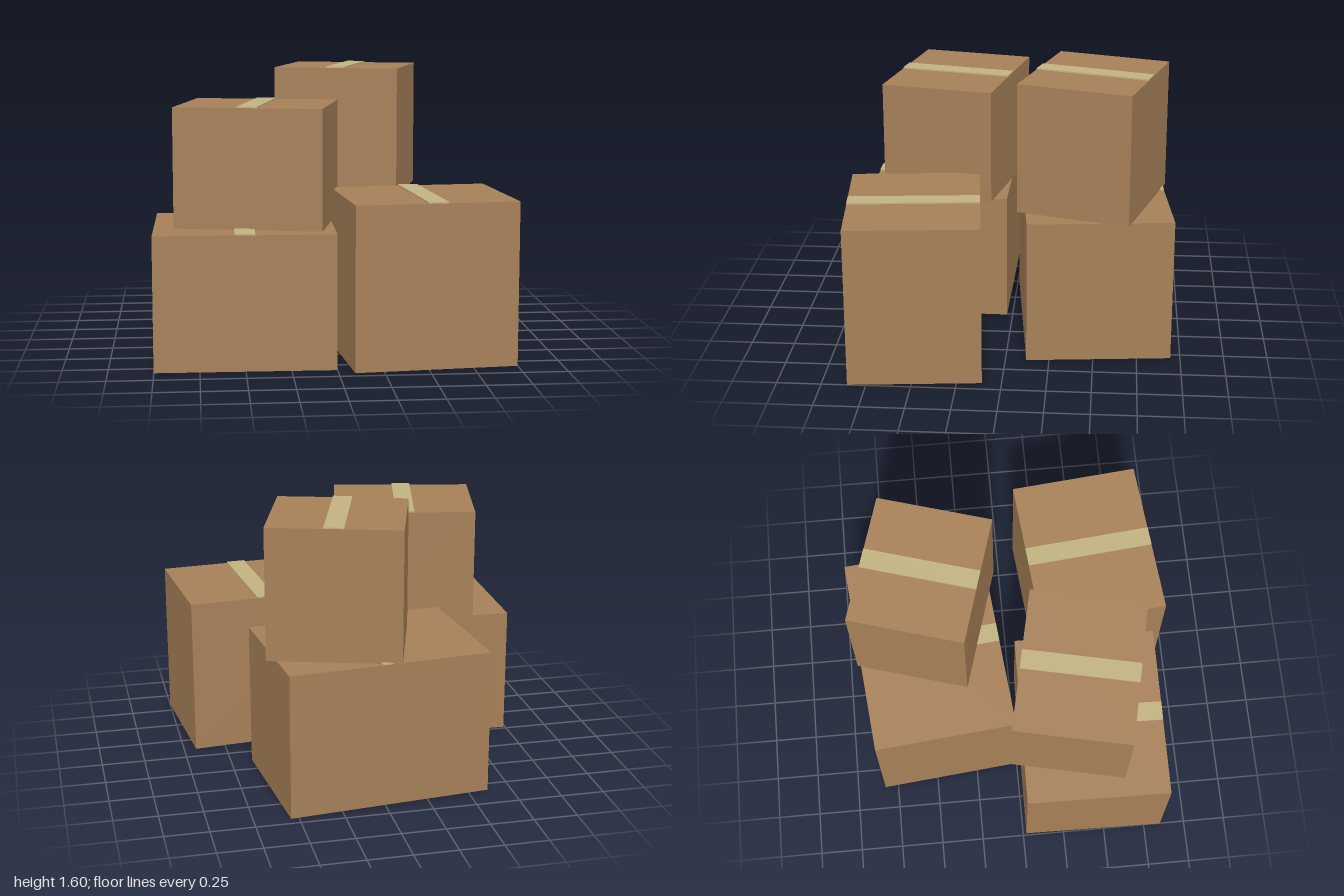
import * as THREE from 'three';

export function createModel() {
  const cardboard = new THREE.MeshStandardMaterial({ color: 0xa78058 });
  cardboard.name = 'cardboard';
  const tape = new THREE.MeshStandardMaterial({ color: 0xc2b280 });
  tape.name = 'packing tape';

  const model = new THREE.Group();
  model.name = 'boxStack';

  // One closed carton with a strip of tape along the middle of its lid
  function addCarton(name, [w, h, d], [x, y, z], turn) {
    const carton = new THREE.Group();
    carton.name = name;
    const body = new THREE.Mesh(new THREE.BoxGeometry(w, h, d), cardboard);
    body.name = name + 'Body';
    body.position.y = h / 2;
    const thick = 0.008;
    const strip = new THREE.Mesh(new THREE.BoxGeometry(0.112, thick, d), tape);
    strip.name = name + 'Tape';
    strip.position.y = h + thick / 2;
    carton.add(body, strip);
    carton.position.set(x, y, z);
    carton.rotation.y = turn;
    model.add(carton);
  }

  // Bottom layer
  addCarton('backLowerBox', [1.166, 0.835, 0.829], [0.005, 0, -0.475], 0.098);
  addCarton('frontRightLowerBox', [1.0, 0.752, 0.832], [-0.495, 0, 0.443], -0.015);
  addCarton('frontLeftLowerBox', [0.914, 0.918, 0.749], [0.509, 0, 0.525], 0.094);

  // Top layer
  addCarton('backUpperBox', [0.747, 0.753, 0.661], [0.1725, 0.835, -0.477], -0.292);
  addCarton('frontUpperBox', [0.83, 0.67, 0.665], [-0.41, 0.752, 0.36], -0.213);

  return model;
}
